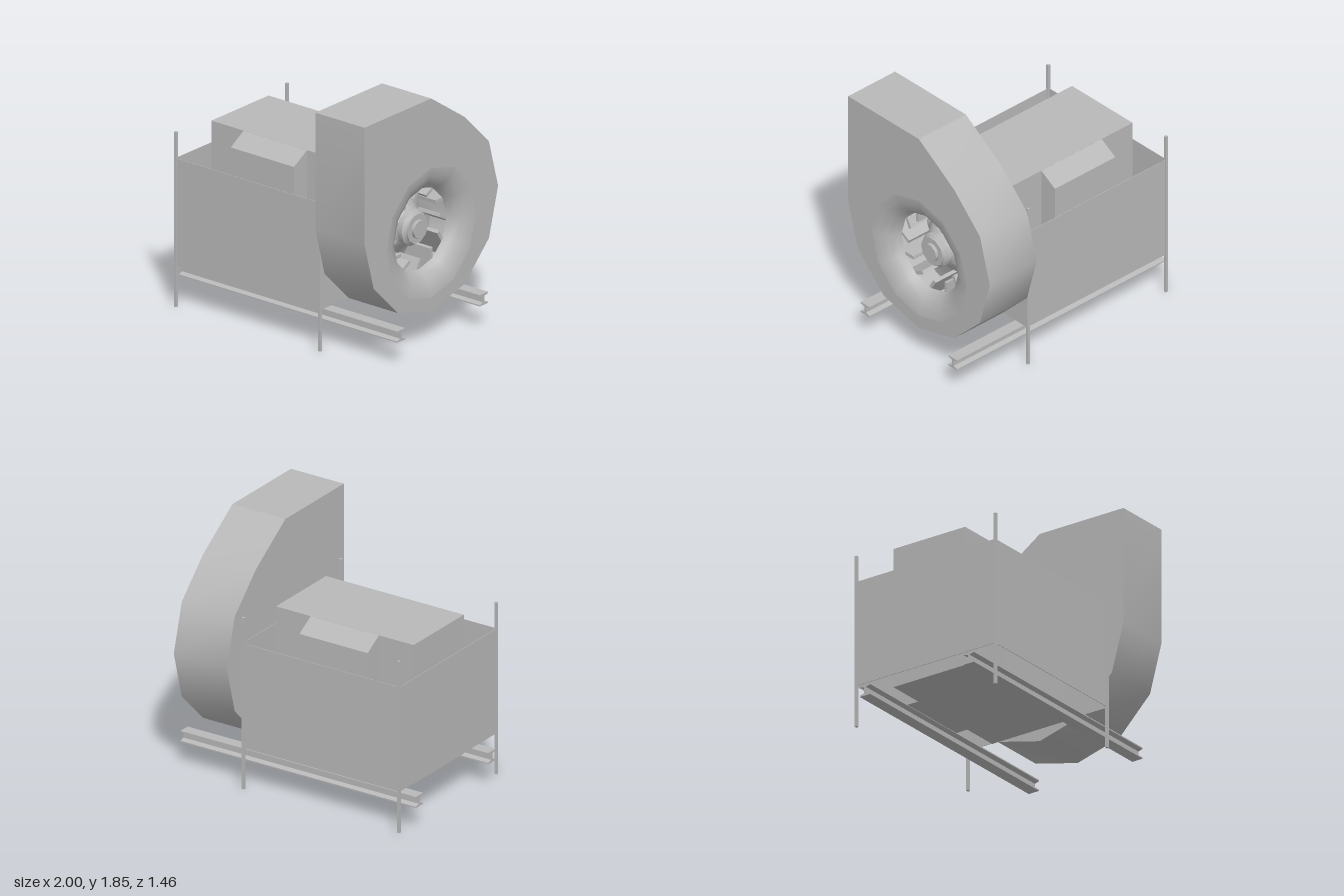
import * as THREE from 'three';
import { toCreasedNormals } from 'three/addons/utils/BufferGeometryUtils.js';

const AXIS_Y = 0.83; // height of the shaft

export function createModel() {
  const model = new THREE.Group();
  const gray = new THREE.MeshStandardMaterial({ color: 0xb8b8b8, side: THREE.DoubleSide });
  gray.name = 'light gray';

  const add = (name, geometry, parent = model) => {
    const mesh = new THREE.Mesh(geometry, gray);
    mesh.name = name;
    parent.add(mesh);
    return mesh;
  };
  const box = (name, [x0, x1], [y0, y1], [z0, z1]) =>
    add(name, new THREE.BoxGeometry(x1 - x0, y1 - y0, z1 - z0)
      .translate((x0 + x1) / 2, (y0 + y1) / 2, (z0 + z1) / 2));
  const shapeOf = (pts) => new THREE.Shape(pts.map(([u, v]) => new THREE.Vector2(u, v)));
  // Extrudes a side profile of [-z, y] points from x0 to x1
  const extrudeX = (shape, x0, x1) =>
    new THREE.ExtrudeGeometry(shape, { depth: x1 - x0, bevelEnabled: false })
      .rotateY(Math.PI / 2).translate(x0, 0, 0);
  // Turns a profile of [radius, x] points about the shaft
  const turned = (name, pts, sides, crease) => {
    let g = new THREE.LatheGeometry(pts.map(([r, x]) => new THREE.Vector2(r, x)), sides)
      .rotateZ(-Math.PI / 2).translate(0, AXIS_Y, 0);
    if (crease) g = toCreasedNormals(g, crease);
    return add(name, g);
  };

  // Snail-shaped fan housing with a round inlet
  const housing = shapeOf([
    [-0.73, 1.845], [-0.73, 0.965], [-0.63, 0.6], [-0.365, 0.335], [0, 0.24], [0.365, 0.335],
    [0.63, 0.6], [0.73, 0.965], [0.63, 1.33], [0.365, 1.595], [0, 1.845],
  ]);
  const inlet = [];
  for (let i = 0; i < 12; i++) {
    const a = -i * Math.PI / 6;
    inlet.push(new THREE.Vector2(0.49 * Math.sin(a), AXIS_Y + 0.49 * Math.cos(a)));
  }
  housing.holes.push(new THREE.Path(inlet));
  add('fanHousing', toCreasedNormals(extrudeX(housing, 0.45, 0.9), 0.56));
  turned('housingBack', [[0.49, 0.45], [0, 0.45]], 12);
  turned('inletBell', [[0.49, 0.9], [0.43, 0.893], [0.37, 0.865], [0.325, 0.825], [0.308, 0.78]], 12);

  // Impeller
  turned('impellerPlate', [[0.47, 0.52], [0.32, 0.54], [0.21, 0.6], [0.13, 0.7]], 12);
  turned('impellerHub', [[0.135, 0.6], [0.135, 0.74], [0.112, 0.76], [0.112, 0.775],
    [0.07, 0.775], [0.07, 0.8], [0, 0.8]], 10, 0.65);
  const bladeShape = shapeOf([[-0.045, 0.24], [-0.02, 0.23], [0.1, 0.44], [0.085, 0.45]]);
  const bladeGeometry = extrudeX(bladeShape, 0.53, 0.78);
  const blades = new THREE.Group();
  blades.name = 'impellerBlades';
  blades.position.y = AXIS_Y;
  for (let i = 0; i < 12; i++) add('blade', bladeGeometry, blades).rotation.x = i * Math.PI / 6;
  model.add(blades);

  // Drive shaft with a flange at each end
  turned('driveShaft', [[0.07, 0.31], [0.07, 0.46]], 10);
  for (const [x0, x1] of [[0.31, 0.33], [0.43, 0.452]]) {
    turned('shaftFlange', [[0, x0], [0.135, x0], [0.135, x1], [0, x1]], 10, 0.65);
  }

  // Motor body with a chamfered bay on both sides
  box('motorBody', [-0.855, 0.315], [0.255, 1.325], [-0.315, 0.31]);
  add('motorSideBays', extrudeX(shapeOf([
    [-0.45, 0.255], [0.455, 0.255], [0.455, 1.24], [0.315, 1.324], [-0.31, 1.324], [-0.45, 1.24],
  ]), -0.56, 0.02));

  // Guard of thin panels around the motor, with corner posts
  for (const z of [-0.59, 0.622]) {
    box('guardLongPanel', [-0.925, 0.415], [0.315, 1.12], [z - 0.002, z + 0.002]);
    for (const x of [-0.918, 0.402]) {
      box('guardPost', [x - 0.01, x + 0.01], [0, 1.32], [z - 0.01, z + 0.01]);
    }
  }
  for (const x of [-0.922, 0.412]) {
    box('guardEndPanel', [x - 0.002, x + 0.002], [0.315, 1.12], [-0.59, 0.622]);
  }

  // I-beam rails with tapered flanges
  const half = [[0.045, 0.175], [0.045, 0.184], [0.008, 0.195], [0.008, 0.24], [0.045, 0.251], [0.045, 0.26]];
  const beam = extrudeX(shapeOf([...half, ...half.map(([u, v]) => [-u, v]).reverse()]), -1, 1);
  for (const z of [-0.455, 0.448]) add('baseRail', beam).position.z = z;

  return model;
}
